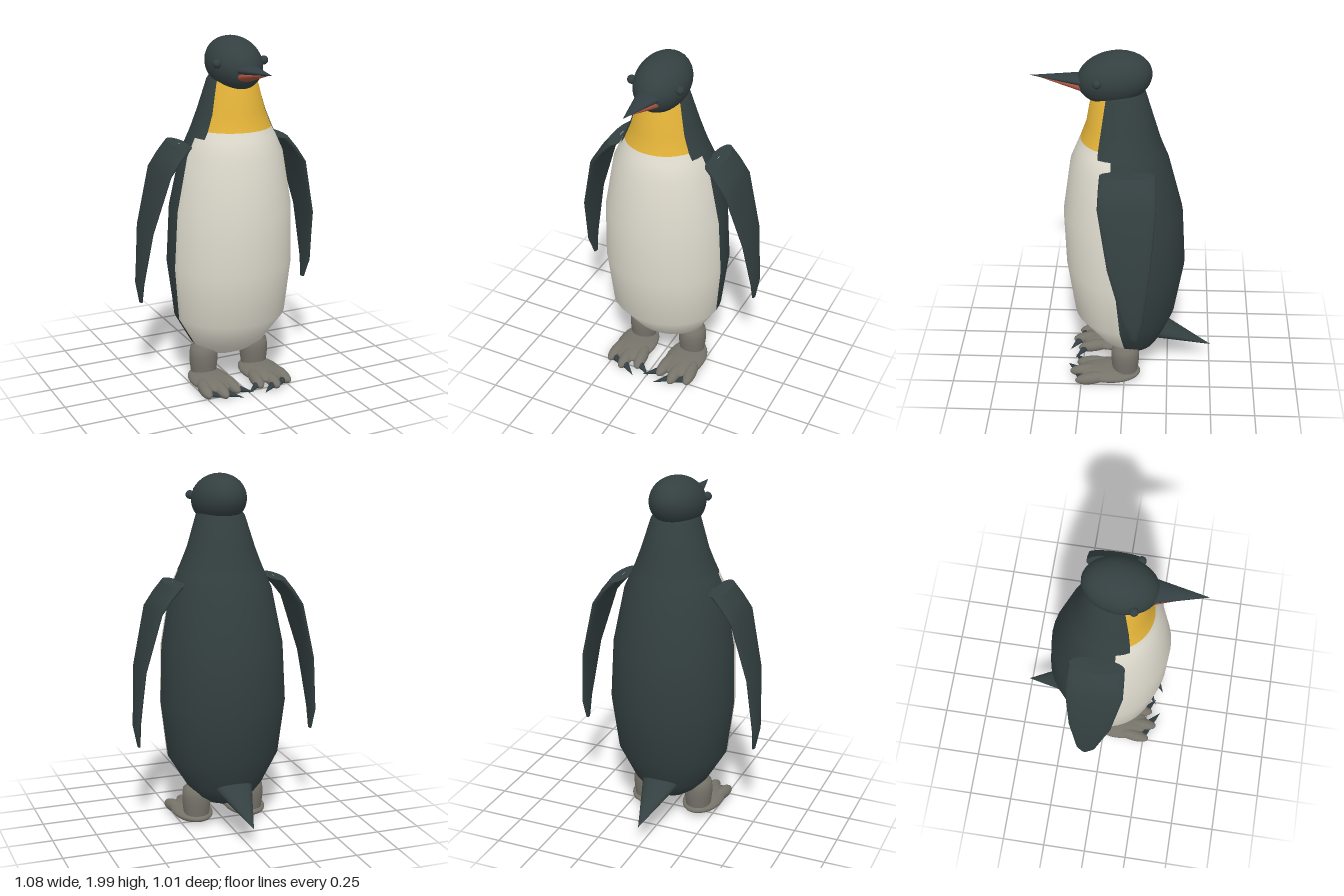
import * as THREE from 'three';

const paint = (name, color) => {
  const m = new THREE.MeshStandardMaterial({ color });
  m.name = name;
  return m;
};

// Skin horizontal rings (bottom to top): { y, cx, cz, rx, rz }.
// angles(ring) lists the column angles from +z; slot(row, column) picks a material.
function loft(rings, angles, slot = () => 0) {
  const pos = [], faces = [];
  const n = angles(rings[0]).length;
  for (const r of rings) {
    for (const a of angles(r)) pos.push(r.cx + r.rx * Math.sin(a), r.y, r.cz + r.rz * Math.cos(a));
  }
  for (let i = 0; i < rings.length - 1; i++) {
    for (let j = 0; j < n; j++) {
      const k = (j + 1) % n, a = i * n + j, b = i * n + k;
      (faces[slot(i, j)] ??= []).push(a, b, b + n, a, b + n, a + n);
    }
  }
  const geo = new THREE.BufferGeometry();
  geo.setAttribute('position', new THREE.Float32BufferAttribute(pos, 3));
  geo.setIndex(faces.flat());
  let start = 0;
  faces.forEach((f, m) => { geo.addGroup(start, f.length, m); start += f.length; });
  geo.computeVertexNormals();
  return geo;
}

export function createModel() {
  const model = new THREE.Group();
  const dark = paint('dark plumage', 0x333f40);
  const white = paint('white belly', 0xe0dccf);
  const yellow = paint('yellow throat', 0xe2b238);
  const grey = paint('grey feet', 0x76736a);
  const red = paint('red lower beak', 0xa4523c);
  const horn = paint('dark horn', 0x323e42);

  const add = (name, geo, mat, parent = model) => {
    const m = new THREE.Mesh(geo, mat);
    m.name = name;
    parent.add(m);
    return m;
  };
  const ball = (name, mat, [x, y, z], [rx, ry, rz], parent = model) => {
    const m = add(name, new THREE.SphereGeometry(1, 32, 20), mat, parent);
    m.position.set(x, y, z);
    m.scale.set(rx, ry, rz);
    return m;
  };
  // Flattened cone from a base point to a tip
  const spike = (name, mat, base, tip, halfWidth, halfHeight, parent = model) => {
    const from = new THREE.Vector3(...base), to = new THREE.Vector3(...tip);
    const geo = new THREE.ConeGeometry(1, 1, 28).translate(0, 0.5, 0).rotateX(Math.PI / 2);
    geo.scale(halfWidth, halfHeight, from.distanceTo(to));
    const m = add(name, geo, mat, parent);
    m.position.copy(from);
    m.lookAt(to);
    return m;
  };

  // Body: y, half width, front z, back z, lower colour edge z, throat colour edge z
  const body = [
    [0.15, 0.01, -0.07, -0.09, -0.08],
    [0.152, 0.1, 0, -0.14, -0.05],
    [0.19, 0.16, 0.08, -0.18, -0.01],
    [0.25, 0.22, 0.16, -0.215, 0],
    [0.42, 0.32, 0.29, -0.285, 0.02],
    [0.73, 0.355, 0.333, -0.338, 0.045],
    [1.06, 0.342, 0.344, -0.32, 0.06],
    [1.37, 0.285, 0.3, -0.24, 0.07],
    [1.47, 0.24, 0.26, -0.2, 0.07, 0.14],
    [1.51, 0.222, 0.243, -0.187, 0.07, 0.138],
    [1.6, 0.187, 0.21, -0.16, 0.06, 0.125],
    [1.77, 0.135, 0.18, -0.11, 0.05, 0.1],
    [1.82, 0.1, 0.13, -0.06, 0.03, 0.08],
    [1.84, 0.01, 0.05, 0.03, 0.04, 0.042],
  ].map(([y, rx, zf, zb, low, high = low + 0.04]) =>
    ({ y, cx: 0, cz: (zf + zb) / 2, rx, rz: (zf - zb) / 2, low, high }));
  // Columns: front zone (10), narrow shoulder zone (2), back zone (10), then mirrored
  const bodyAngles = (r) => {
    const edge = (z) => Math.acos(THREE.MathUtils.clamp((z - r.cz) / r.rz, -0.9, 0.9));
    const a = edge(r.high), b = edge(r.low), half = [];
    for (let i = 0; i < 10; i++) half.push(a * i / 10);
    for (let i = 0; i < 2; i++) half.push(a + (b - a) * i / 2);
    for (let i = 0; i <= 10; i++) half.push(b + (Math.PI - b) * i / 10);
    return [...half, ...half.slice(1, -1).reverse().map((t) => 2 * Math.PI - t)];
  };
  add('body', loft(body, bodyAngles, (i, j) => {
    const column = j < 22 ? j : 43 - j;
    const y = body[i].y;
    if (column >= (y >= 1.47 ? 10 : 12)) return 0;
    return y >= 1.51 ? 2 : 1;
  }), [dark, white, yellow]);

  // Head, eyes and beak
  ball('head', dark, [0, 1.857, 0.057], [0.147, 0.14, 0.202]).rotation.x = 0.2;
  for (const s of [1, -1]) ball('eye', horn, [s * 0.138, 1.875, 0.143], [0.024, 0.024, 0.024]);
  spike('upperBeak', horn, [0, 1.842, 0.2], [0, 1.862, 0.505], 0.074, 0.032);
  spike('lowerBeak', red, [0, 1.808, 0.2], [0, 1.853, 0.46], 0.07, 0.034);

  // Tail
  spike('tail', dark, [0, 0.275, -0.17], [0, 0.135, -0.505], 0.115, 0.055);

  // Wing sections: y, centre x, half thickness, front z, back z
  const wing = [
    [0.52, 0.513, 0.001, -0.069, -0.071],
    [0.525, 0.513, 0.008, -0.05, -0.085],
    [0.64, 0.522, 0.018, -0.005, -0.11],
    [0.96, 0.492, 0.018, 0.08, -0.15],
    [1.28, 0.408, 0.026, 0.135, -0.176],
    [1.36, 0.35, 0.036, 0.132, -0.174],
    [1.425, 0.292, 0.045, 0.127, -0.17],
    [1.425, 0.292, 0.045, 0.127, -0.17],
    [1.426, 0.292, 0.001, 0, -0.04],
  ];
  const round = Array.from({ length: 28 }, (_, i) => i / 28 * Math.PI * 2);

  for (const s of [1, -1]) {
    const side = s > 0 ? 'left' : 'right';
    const rings = wing.map(([y, x, rx, zf, zb]) =>
      ({ y, cx: s * x, cz: (zf + zb) / 2, rx, rz: (zf - zb) / 2 }));
    add(side + 'Wing', loft(rings, () => round), dark);

    // Leg with a rounded top
    const foot = new THREE.Group();
    foot.name = side + 'Foot';
    foot.position.x = s * 0.16;
    model.add(foot);
    const profile = [[0.068, 0.04], [0.074, 0.08], [0.081, 0.14], [0.081, 0.18], [0.075, 0.22], [0.05, 0.238], [0, 0.243]]
      .map(([r, y]) => new THREE.Vector2(r, y));
    add('leg', new THREE.LatheGeometry(profile, 32), grey, foot).position.z = -0.005;

    // Sole, toes and claws
    ball('sole', grey, [0, 0.05, 0.085], [0.115, 0.04, 0.178], foot);
    for (const t of [-1, 0, 1]) {
      const reach = t ? 0 : 0.035;
      const toe = ball('toe', grey, [t * 0.078, 0.047, 0.185 + reach], [0.037, 0.035, 0.1], foot);
      toe.rotation.set(0.12, t * 0.12, 0);
      spike('claw', horn, [t * 0.083, 0.042, 0.235 + reach], [t * 0.087, 0.008, 0.345 + reach], 0.027, 0.022, foot);
    }
  }
  return model;
}
